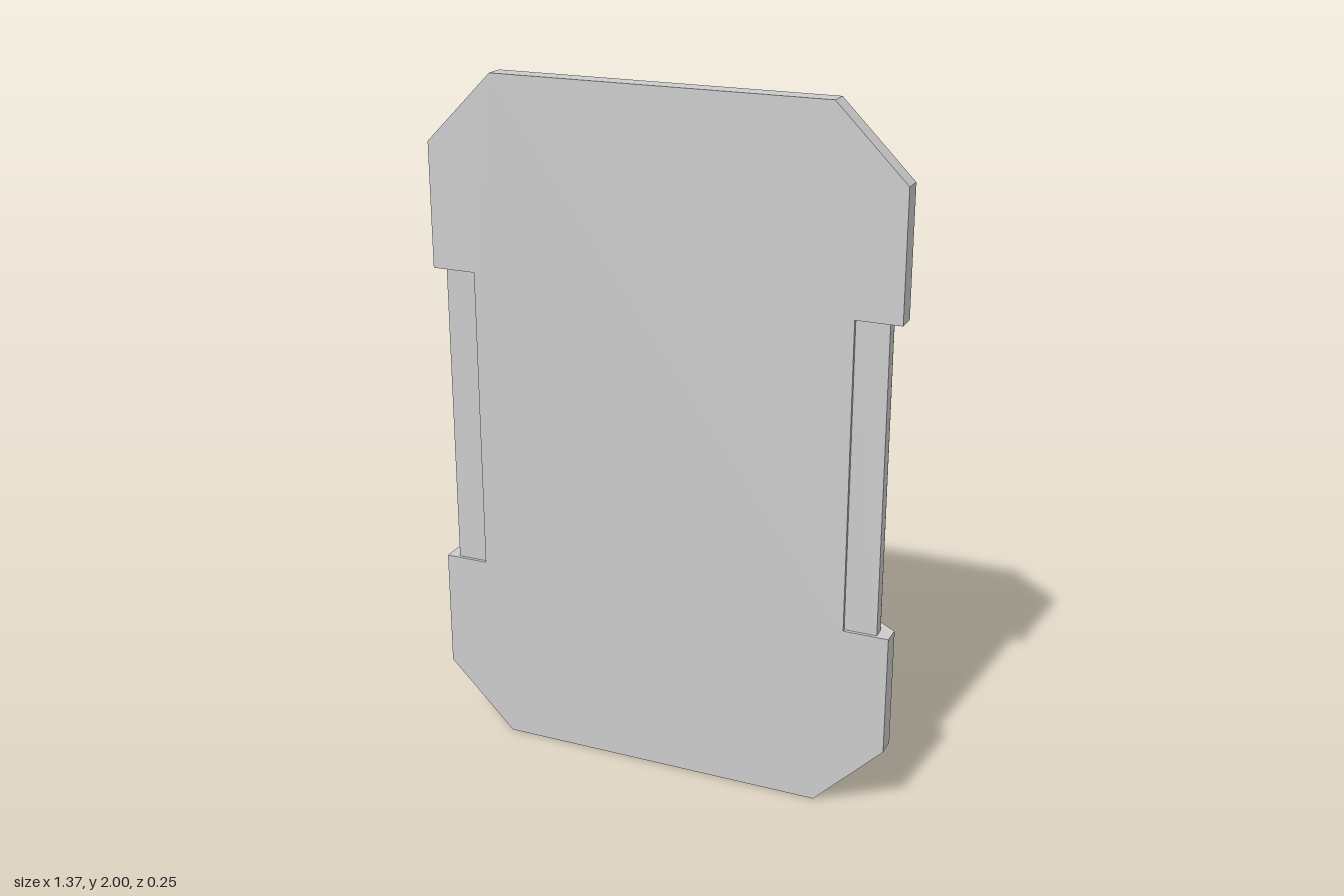
import * as THREE from 'three';
import { toCreasedNormals } from 'three/addons/utils/BufferGeometryUtils.js';

const FRONT = 0.122, RIM = 0.065, BACK = -0.055;   // z levels of the plate
const W = 0.686, H = 1, WB = 0.52, HB = 0.86;      // half sizes: outer outline, back face
const CUT = 0.2, CUTB = 0.21;                      // corner cuts
const NB = -0.45, NT = 0.44, NX = 0.557, NZ = -0.029; // side notch
const L = 0.37;                                    // half length of the straight part of the ovals

const material = new THREE.MeshStandardMaterial({ color: 0xcccccc, side: THREE.DoubleSide });

function mesh(name, geometry, crease = 0.6) {
  const m = new THREE.Mesh(toCreasedNormals(geometry, crease), material);
  m.name = name;
  return m;
}

// Grid surface through rows of [x, y, z] points
function loft(rows) {
  const n = rows[0].length, index = [];
  for (let j = 0; j < rows.length - 1; j++) {
    for (let i = 0; i < n - 1; i++) {
      const a = j * n + i, b = a + n;
      index.push(a, a + 1, b, a + 1, b + 1, b);
    }
  }
  const g = new THREE.BufferGeometry();
  g.setAttribute('position', new THREE.Float32BufferAttribute(rows.flat(2), 3));
  g.setIndex(index);
  return g;
}

const octagon = (w, h, c) => [[w, h - c], [w - c, h], [c - w, h], [-w, h - c],
  [-w, c - h], [c - w, -h], [w - c, -h], [w, c - h]];

// Long oval outline of the given end radius
function oval(r) {
  const pts = [];
  for (const half of [0, 1]) {
    for (let i = 0; i <= 24; i++) {
      const a = Math.PI * (half + i / 24);
      pts.push([r * Math.cos(a), r * Math.sin(a) + (half ? -L : L)]);
    }
  }
  return pts;
}

// Sweep a profile of [radius, z] around the oval
function ovalSweep(profile) {
  return loft(profile.map(([r, z]) => {
    const p = oval(r).map(([x, y]) => [x, y, z]);
    return [...p, p[0]];
  }));
}

const toShape = pts => new THREE.Shape(pts.map(([x, y]) => new THREE.Vector2(x, y)));

// x of the sloping side surface at depth z
const sideX = z => z >= RIM ? W : W + (WB - W) * (RIM - z) / (RIM - BACK);

// Notch outline as [y, z], with rounded back corners
function notchPath() {
  const r = 0.035, lower = [[NB, FRONT], [NB, RIM]], upper = [];
  for (let i = 0; i <= 6; i++) {
    const a = i / 6 * Math.PI / 2;
    const dy = r * (1 - Math.cos(a)), z = NZ + r * (1 - Math.sin(a));
    lower.push([NB + dy, z]);
    upper.unshift([NT - dy, z]);
  }
  return [...lower, ...upper, [NT, RIM], [NT, FRONT]];
}

// Everything on the +x side; the other side is its mirror
function makeSide() {
  const side = new THREE.Group();
  const path = notchPath();

  // Sloping flank with the notch cut out, drawn in (y, z) and tilted into place
  const slope = new THREE.ShapeGeometry(toShape([[CUT - H, RIM], ...path.slice(1, -1),
    [H - CUT, RIM], [HB - CUTB, BACK], [CUTB - HB, BACK]]));
  const p = slope.attributes.position;
  for (let i = 0; i < p.count; i++) {
    const y = p.getX(i), z = p.getY(i);
    p.setXYZ(i, sideX(z), y, z);
  }
  side.add(mesh('sideBevel', slope));
  for (const [a, b] of [[CUT - H, NB], [NT, H - CUT]]) {
    side.add(mesh('sideRim', loft([[[W, a, FRONT], [W, b, FRONT]], [[W, a, RIM], [W, b, RIM]]])));
  }
  side.add(mesh('notchWall', loft([path.map(([y, z]) => [sideX(z), y, z]),
    path.map(([y, z]) => [NX, y, z])])));
  side.add(mesh('notchFloor', loft([[[NX, NB, FRONT], [NX, NT, FRONT]],
    [[NX, NB, NZ], [NX, NT, NZ]]])));

  // Grip bar with a rounded rear outer edge, section in (x, z)
  const bar = new THREE.Shape();
  bar.moveTo(NX, 0.112);
  bar.lineTo(0.65, 0.112);
  bar.lineTo(0.65, 0.085);
  bar.quadraticCurveTo(0.65, 0.048, 0.613, 0.048);
  bar.lineTo(NX, 0.048);
  const barGeo = new THREE.ExtrudeGeometry(bar, { depth: NT - NB, bevelEnabled: false, curveSegments: 8 });
  barGeo.rotateX(Math.PI / 2).translate(0, NT, 0);
  side.add(mesh('gripBar', barGeo));

  // Two clips bridging the gap from plate to ring
  const clip = toShape([[0.28, -0.03], [0.28, -0.1], [0.435, -0.1], [0.452, -0.092],
    [0.475, BACK - 0.002], [0.525, -0.045], [0.525, -0.03]]);
  for (const y of [0.165, -0.16]) {
    const g = new THREE.ExtrudeGeometry(clip, { depth: 0.086, bevelEnabled: false });
    g.rotateX(Math.PI / 2).translate(0, y + 0.043, 0);
    side.add(mesh('clip', g));
  }
  return side;
}

export function createModel() {
  const model = new THREE.Group();
  const body = new THREE.Group();
  body.name = 'plate';
  body.position.y = H;
  model.add(body);

  // Front face, stepping in at the side notches
  const o = octagon(W, H, CUT), b = octagon(WB, HB, CUTB);
  const front = [...o.slice(0, 4), [-W, NT], [-NX, NT], [-NX, NB], [-W, NB],
    ...o.slice(4), [W, NB], [NX, NB], [NX, NT], [W, NT]];
  body.add(mesh('frontFace', new THREE.ShapeGeometry(toShape(front)).translate(0, 0, FRONT)));

  // Back face with the oval opening
  const back = toShape(b);
  back.holes.push(new THREE.Path(oval(0.4).map(([x, y]) => new THREE.Vector2(x, y))));
  const backGeo = new THREE.ShapeGeometry(back);
  backGeo.setIndex([...backGeo.index.array].reverse());
  body.add(mesh('backFace', backGeo.translate(0, 0, BACK)));

  // Rim and bevel at the top, bottom and corners
  for (const i of [0, 1, 2, 4, 5, 6]) {
    const strip = [[o, FRONT], [o, RIM], [b, BACK]].map(([s, z]) => [[...s[i], z], [...s[i + 1], z]]);
    body.add(mesh('edgeBevel', loft(strip), 0.3));
  }

  // Left and right sides
  for (const s of [1, -1]) {
    const side = makeSide();
    side.name = s > 0 ? 'leftSide' : 'rightSide';
    side.scale.x = s;
    body.add(side);
  }

  // Stepped channel around the ring
  body.add(mesh('channel', ovalSweep([[0.4, BACK], [0.4, -0.03], [0.375, -0.03], [0.375, 0.07], [0.29, 0.07]])));

  // Raised oval ring, rounded outside, with a sunken centre
  const profile = [[0.305, 0.07]];
  for (let i = 0; i <= 8; i++) {
    const a = i / 8 * Math.PI / 2;
    profile.push([0.25 + 0.055 * Math.cos(a), -0.07 - 0.054 * Math.sin(a)]);
  }
  profile.push([0.205, -0.124], [0.192, -0.118], [0.188, -0.105], [0.188, -0.065], [0, -0.065]);
  body.add(mesh('ring', ovalSweep(profile), 0.8));

  return model;
}
